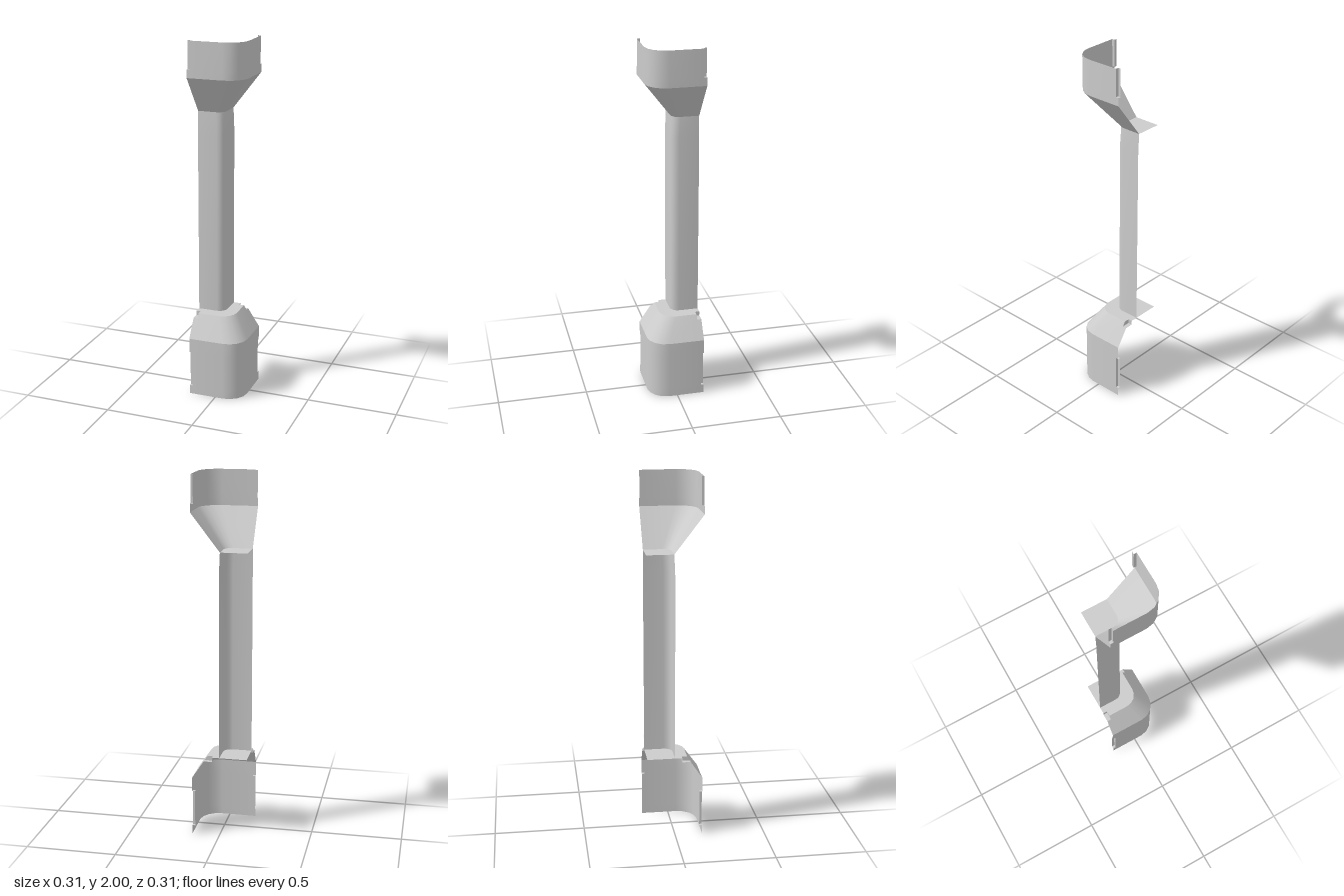
import * as THREE from 'three';
import { toCreasedNormals } from 'three/addons/utils/BufferGeometryUtils.js';

const H = 0.153; // half width of the footprint
const ARC = 4; // facets on each rounded corner

const material = new THREE.MeshStandardMaterial({ color: 0xcccccc, side: THREE.DoubleSide });

// L-shaped section: two walls at z = c and x = c joined by a rounded corner of radius r.
// The free ends may be rebated inward: w wide, d deep.
function section({ c, r, d = 0, w = 0.016 }) {
  const pts = [[-H, c - d], [-H + w, c - d], [-H + w, c]];
  for (let i = 0; i <= ARC; i++) {
    const a = Math.PI / 2 * (1 - i / ARC);
    pts.push([c - r + r * Math.cos(a), c - r + r * Math.sin(a)]);
  }
  pts.push([c, -H + w], [c - d, -H + w], [c - d, -H]);
  return pts;
}

// Open shell through a stack of sections, from bottom to top
function shell(name, rows) {
  const position = [], index = [];
  const n = section(rows[0]).length;
  rows.forEach((row, j) => {
    section(row).forEach(([x, z], i) => {
      position.push(x, row.y, z);
      if (j && i) {
        const b = j * n + i, a = b - 1;
        index.push(a - n, b - n, b, a - n, b, a);
      }
    });
  });
  const geometry = new THREE.BufferGeometry();
  geometry.setAttribute('position', new THREE.Float32BufferAttribute(position, 3));
  geometry.setIndex(index);
  const mesh = new THREE.Mesh(toCreasedNormals(geometry, 0.5), material);
  mesh.name = name;
  return mesh;
}

// Flat horizontal plate filling a section back to the inner corner
function plate(name, row) {
  const outline = [...section(row), [-H, -H]].map(([x, z]) => new THREE.Vector2(x, z));
  const geometry = new THREE.ShapeGeometry(new THREE.Shape(outline)).rotateX(Math.PI / 2);
  const mesh = new THREE.Mesh(geometry, material);
  mesh.name = name;
  mesh.position.y = row.y;
  return mesh;
}

export function createModel() {
  const group = new THREE.Group();
  group.name = 'cornerPillar';

  const wide = { c: H, r: 0.108 };
  const rebated = { ...wide, d: 0.016 };
  const baseTop = { y: 0.46, c: 0.07, r: 0.08, d: 0.03, w: 0.024 };
  const neck = { y: 1.6, c: -0.005, r: 0.045 };

  // Base: upright walls with a rebate on each end, then an inward slope with small notches
  group.add(shell('base', [
    { y: 0, ...wide },
    { y: 0.05, ...wide },
    { y: 0.05, ...rebated },
    { y: 0.255, ...rebated },
    { y: 0.255, ...wide },
    { y: 0.335, ...wide },
    { y: 0.435, c: 0.087, r: 0.086, w: 0.024 },
    { y: 0.435, c: 0.087, r: 0.086, d: 0.047, w: 0.024 },
    baseTop,
  ]));
  group.add(plate('basePlate', baseTop));

  // Shaft: plain corner strip, narrowing slightly at the top
  group.add(shell('shaft', [
    { y: 0.46, c: 0, r: 0.045 },
    { y: 1.48, c: 0, r: 0.045 },
    neck,
  ]));

  // Head: flares out to the full width, with rebated ends
  group.add(plate('headPlate', neck));
  group.add(shell('head', [
    neck,
    { y: 1.805, ...wide },
    { y: 1.85, ...wide },
    { y: 1.85, ...rebated },
    { y: 2, ...rebated },
  ]));

  return group;
}
